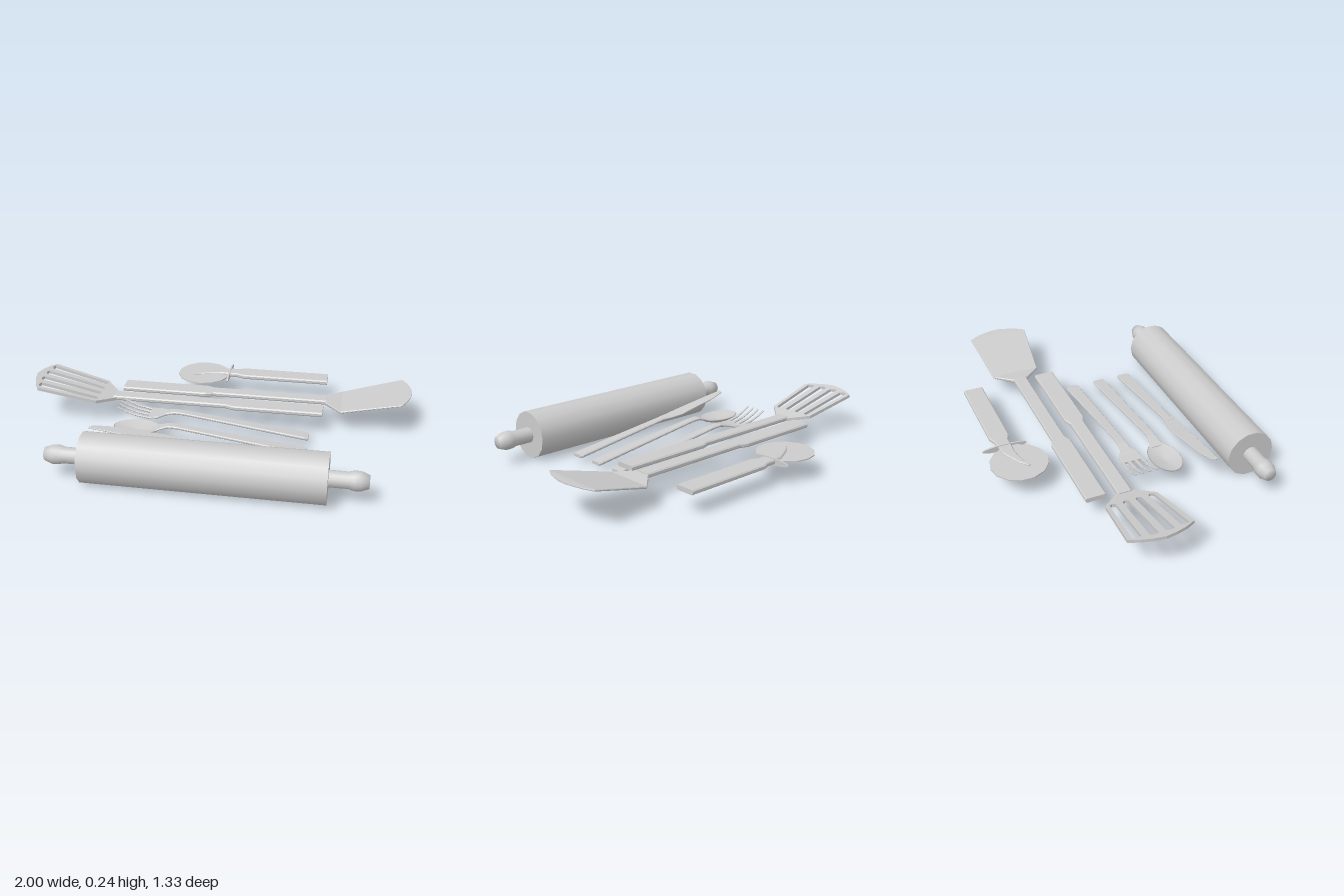
import * as THREE from 'three';

const smooth = new THREE.MeshStandardMaterial({ color: 0xcccccc });
const faceted = new THREE.MeshStandardMaterial({ color: 0xcccccc, flatShading: true });

function add(parent, name, geometry, material = faceted) {
  const mesh = new THREE.Mesh(geometry, material);
  mesh.name = name;
  parent.add(mesh);
  return mesh;
}

function tool(root, name) {
  const group = new THREE.Group();
  group.name = name;
  root.add(group);
  return group;
}

// Chamfered bar lofted along x. Station: [x, middle z, half width, bottom y, thickness]
function bar(stations) {
  const list = [...stations].sort((a, b) => a[0] - b[0]);
  const pos = [], index = [], n = 8;
  for (const [x, z, h, y, t] of list) {
    const c = Math.min(0.006, t * 0.3, h * 0.4);
    const section = [
      [0, -h + c], [c, -h], [t - c, -h], [t, -h + c],
      [t, h - c], [t - c, h], [c, h], [0, h - c],
    ];
    for (const [dy, dz] of section) pos.push(x, y + dy, z + dz);
  }
  const last = (list.length - 1) * n;
  for (let s = 0; s < last; s += n) {
    for (let i = 0; i < n; i++) {
      const a = s + i, b = s + (i + 1) % n;
      index.push(a, b, a + n, b, b + n, a + n);
    }
  }
  for (let i = 1; i < n - 1; i++) {
    index.push(0, i + 1, i, last, last + i, last + i + 1);
  }
  const g = new THREE.BufferGeometry();
  g.setAttribute('position', new THREE.Float32BufferAttribute(pos, 3));
  g.setIndex(index);
  g.computeVertexNormals();
  return g;
}

function rollingPin(root) {
  const g = tool(root, 'rollingPin');
  g.position.set(0.0425, 0.123, 0.543);
  const body = new THREE.CylinderGeometry(0.123, 0.123, 1.155, 14).rotateZ(Math.PI / 2);
  add(g, 'roller', body, smooth);
  const profile = [[0.04, 0], [0.04, 0.09], [0.047, 0.115], [0.047, 0.145], [0.032, 0.185], [0, 0.185]]
    .map(([r, y]) => new THREE.Vector2(r, y));
  for (const side of [-1, 1]) {
    const handle = new THREE.LatheGeometry(profile, 14).rotateZ(-side * Math.PI / 2);
    add(g, 'rollerHandle', handle, smooth).position.x = side * 0.5775;
  }
}

// Wide grip narrowing into a long neck
function longHandle(z, end, shoulder, neckEnd) {
  const d = Math.sign(shoulder - end), y = 0.107, t = 0.024;
  return bar([
    [end, z, 0.052, y, t], [shoulder, z, 0.052, y, t],
    [shoulder + d * 0.04, z, 0.036, y, t], [neckEnd, z, 0.036, y, t],
  ]);
}

function solidTurner(root) {
  const g = tool(root, 'solidTurner');
  add(g, 'handle', longHandle(-0.281, -0.548, -0.09, 0.56));
  add(g, 'blade', bar([
    [0.55, -0.281, 0.036, 0.107, 0.022], [0.64, -0.281, 0.128, 0.107, 0.012],
    [0.8, -0.281, 0.145, 0.15, 0.01], [0.95, -0.281, 0.161, 0.19, 0.008],
    [0.975, -0.281, 0.115, 0.194, 0.007], [0.99, -0.281, 0.07, 0.196, 0.006],
    [1, -0.281, 0.02, 0.197, 0.006],
  ]));
}

function slottedTurner(root) {
  const g = tool(root, 'slottedTurner');
  const mid = -0.145;
  add(g, 'handle', longHandle(mid, 0.548, 0.08, -0.57));
  const toPoints = list => list.map(([x, z]) => new THREE.Vector2(x, mid + z));
  const half = [[-0.555, 0.036], [-0.64, 0.13], [-0.945, 0.16], [-0.972, 0.11], [-0.99, 0.055]];
  const mirrored = [...half].reverse().map(([x, z]) => [x, -z]);
  const head = new THREE.Shape(toPoints([...half, [-1, 0], ...mirrored]));
  // Four slots fanning out towards the front edge
  for (const k of [-1.5, -0.5, 0.5, 1.5]) {
    const near = k * 0.064, far = k * 0.076, tip = -0.962 + Math.abs(k) * 0.011;
    head.holes.push(new THREE.Path(toPoints([
      [-0.645, near - 0.015], [-0.637, near], [-0.645, near + 0.015],
      [tip, far + 0.021], [tip - 0.006, far], [tip, far - 0.021],
    ])));
  }
  const t = 0.016;
  const geo = new THREE.ExtrudeGeometry(head, { depth: t, bevelEnabled: false }).rotateX(Math.PI / 2);
  // Raise the head towards its front edge
  const p = geo.attributes.position;
  for (let i = 0; i < p.count; i++) {
    p.setY(i, p.getY(i) + 0.107 + t + 0.215 * (-0.555 - p.getX(i)));
  }
  geo.computeVertexNormals();
  add(g, 'slottedHead', geo);
}

function wheelCutter(root) {
  const g = tool(root, 'wheelCutter');
  const z = -0.551;
  add(g, 'handle', bar([
    [0.548, z, 0.052, 0.107, 0.024], [0.08, z, 0.052, 0.107, 0.024],
    [0.04, z, 0.036, 0.107, 0.024], [-0.01, z, 0.036, 0.107, 0.024],
  ]));
  const guard = new THREE.CylinderGeometry(1, 1, 0.008, 14).rotateZ(Math.PI / 2).scale(1, 0.018, 0.115);
  add(g, 'guard', guard).position.set(-0.005, 0.118, z);
  add(g, 'wheelArm', bar([
    [0, -0.548, 0.034, 0.105, 0.027], [-0.06, -0.547, 0.031, 0.105, 0.026],
    [-0.11, -0.53, 0.022, 0.106, 0.024], [-0.16, -0.51, 0.015, 0.107, 0.022],
    [-0.2, -0.484, 0.005, 0.108, 0.02],
  ]));
  add(g, 'wheel', new THREE.CylinderGeometry(0.145, 0.145, 0.006, 14)).position.set(-0.15, 0.118, -0.522);
}

// Tapered cutlery grip rising from its end to the neck
function grip(z, neckX, neckY) {
  return [
    [0.49, z, 0.029, 0.03, 0.016], [0.475, z, 0.035, 0.032, 0.016],
    [0.41, z, 0.034, 0.04, 0.016], [neckX, z, 0.022, neckY, 0.014],
  ];
}

function fork(root) {
  const g = tool(root, 'fork');
  const z = -0.002;
  add(g, 'handle', bar([
    ...grip(z, -0.16, 0.112), [-0.21, z, 0.022, 0.114, 0.014], [-0.25, z, 0.027, 0.107, 0.012],
    [-0.29, z, 0.053, 0.099, 0.011], [-0.34, z, 0.06, 0.096, 0.01],
  ]));
  for (const k of [-1.5, -0.5, 0.5, 1.5]) {
    add(g, 'tine', bar([
      [-0.335, z + k * 0.034, 0.009, 0.096, 0.01], [-0.41, z + k * 0.036, 0.008, 0.109, 0.009],
      [-0.46, z + k * 0.037, 0.007, 0.127, 0.008], [-0.5, z + k * 0.038, 0.005, 0.148, 0.006],
    ]));
  }
}

function spoon(root) {
  const g = tool(root, 'spoon');
  const z = 0.159;
  add(g, 'handle', bar([
    ...grip(z, -0.16, 0.113), [-0.21, z, 0.022, 0.114, 0.014],
    [-0.25, z, 0.028, 0.104, 0.01], [-0.275, z, 0.04, 0.097, 0.006],
  ]));
  const profile = [[0, -0.026], [0.5, -0.022], [0.85, -0.01], [1, 0.002], [0.95, 0.005], [0.6, -0.009], [0, -0.017]]
    .map(([r, y]) => new THREE.Vector2(r, y));
  const bowl = new THREE.LatheGeometry(profile, 20).scale(0.122, 1, 0.079);
  add(g, 'bowl', bowl, smooth).position.set(-0.37, 0.1, z);
}

function knife(root) {
  const g = tool(root, 'knife');
  const z = 0.31;
  add(g, 'handle', bar([...grip(z, -0.1, 0.107), [-0.12, z, 0.025, 0.109, 0.013]]));
  add(g, 'blade', bar([
    [-0.09, 0.311, 0.025, 0.107, 0.012], [-0.13, 0.307, 0.032, 0.111, 0.01],
    [-0.2, 0.304, 0.041, 0.12, 0.008], [-0.3, 0.31, 0.036, 0.133, 0.008],
    [-0.46, 0.317, 0.029, 0.154, 0.007], [-0.55, 0.329, 0.016, 0.166, 0.006],
    [-0.565, 0.341, 0.003, 0.168, 0.006],
  ]));
}

export function createModel() {
  const root = new THREE.Group();
  root.name = 'kitchenToolSet';
  for (const build of [rollingPin, solidTurner, slottedTurner, wheelCutter, fork, spoon, knife]) build(root);
  return root;
}
